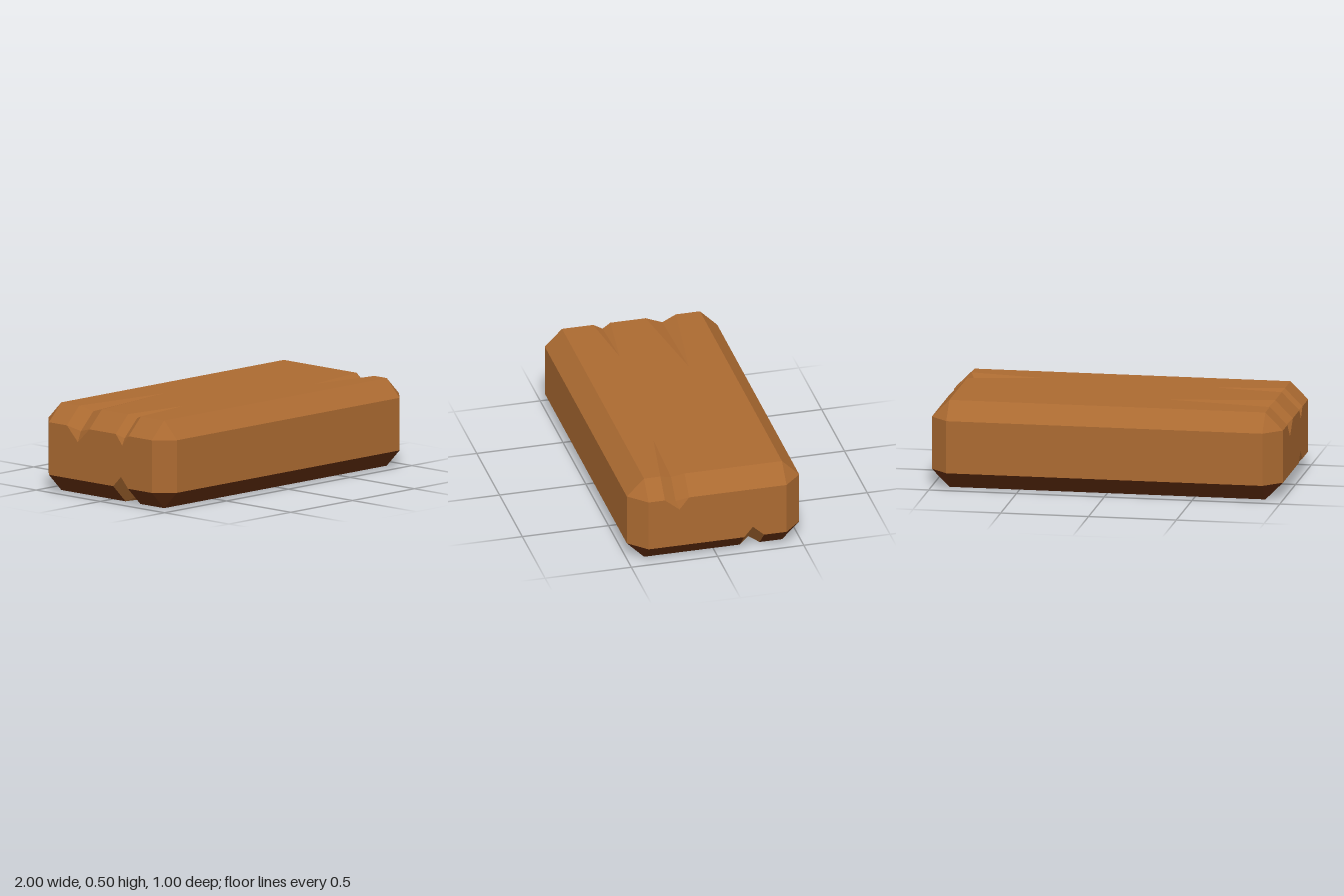
import * as THREE from 'three';

// Half sizes of the block, and the chamfer cut from every edge
const X = 1, Y = 0.25, Z = 0.5, C = 0.1;

// Wedge-shaped cracks: end (sx), top or bottom (sy), mouth edges, valley, tip, depths
const cracks = [
  { sx: 1, sy: 1, z: [0.165, 0.305], mid: 0.235, tip: 0.48, deep: 0.03, endZ: 0.22, endDrop: 0.07 },
  { sx: -1, sy: 1, z: [-0.26, -0.085], mid: -0.175, tip: 0.3, deep: 0.025, endZ: -0.175, endDrop: 0.085 },
  { sx: -1, sy: 1, z: [0.12, 0.22], mid: 0.17, tip: 0.51, deep: 0.02, endZ: 0.17, endDrop: 0.06 },
  { sx: 1, sy: -1, z: [-0.27, -0.155], mid: -0.213, tip: 0.5, deep: 0.03, endZ: -0.205, endDrop: 0.06 },
  { sx: -1, sy: -1, z: [0.1, 0.215], mid: 0.16, tip: 0.51, deep: 0.03, endZ: 0.16, endDrop: 0.06 },
];

// Collects flat polygons; each is triangulated and turned to face along its hint
function polygonCollector() {
  const positions = [];
  const add = (points, hint) => {
    const out = new THREE.Vector3(...hint);
    const size = hint.map(Math.abs);
    const drop = size.indexOf(Math.max(...size));
    const flat = points.map((p) => new THREE.Vector2(...p.filter((_, i) => i !== drop)));
    const pts = points.map((p) => new THREE.Vector3(...p));
    for (const [a, b, c] of THREE.ShapeUtils.triangulateShape(flat, [])) {
      const n = pts[b].clone().sub(pts[a]).cross(pts[c].clone().sub(pts[a]));
      const order = n.dot(out) >= 0 ? [a, b, c] : [a, c, b];
      for (const i of order) positions.push(pts[i].x, pts[i].y + Y, pts[i].z);
    }
  };
  const build = () => {
    const geometry = new THREE.BufferGeometry();
    geometry.setAttribute('position', new THREE.Float32BufferAttribute(positions, 3));
    geometry.computeVertexNormals();
    return geometry;
  };
  return { add, build };
}

// Cracks on one end and face, ordered along z
const cracksAt = (sx, sy) =>
  cracks.filter((c) => c.sx === sx && c.sy === sy).sort((a, b) => a.z[0] - b.z[0]);

// One edge running along z, stepping around each crack through its inner point
function notchedEdge(sx, sy, corner, inner) {
  const edge = [corner(-Z + C)];
  for (const c of cracksAt(sx, sy)) edge.push(corner(c.z[0]), inner(c), corner(c.z[1]));
  edge.push(corner(Z - C));
  return edge;
}

// Top (sy = 1) or underside (sy = -1): notched face with all its chamfers and corners
function capGeometry(sy) {
  const { add, build } = polygonCollector();
  const x = X - C, y = sy * (Y - C), z = Z - C;

  // Flat face, with tapering notches at the ends
  const edge = (sx) => notchedEdge(sx, sy, (ez) => [sx * x, sy * Y, ez], (c) => [sx * c.tip, sy * Y, c.mid]);
  add([...edge(-1), ...edge(1).reverse()], [0, sy, 0]);

  // Long chamfers
  for (const sz of [-1, 1]) {
    add([[-x, y, sz * Z], [x, y, sz * Z], [x, sy * Y, sz * z], [-x, sy * Y, sz * z]], [0, sy, sz]);
  }

  for (const sx of [-1, 1]) {
    // Corner triangles
    for (const sz of [-1, 1]) {
      add([[sx * x, y, sz * Z], [sx * X, y, sz * z], [sx * x, sy * Y, sz * z]], [sx, sy, sz]);
    }
    // End chamfers, in strips between the cracks
    const stops = [-z, ...cracksAt(sx, sy).flatMap((c) => c.z), z];
    for (let i = 0; i < stops.length; i += 2) {
      const [a, b] = [stops[i], stops[i + 1]];
      add([[sx * x, sy * Y, a], [sx * x, sy * Y, b], [sx * X, y, b], [sx * X, y, a]], [sx, sy, 0]);
    }
  }
  return build();
}

// Upright faces all round the block
function sidesGeometry() {
  const { add, build } = polygonCollector();
  const x = X - C, y = Y - C;

  // Ends, with the V-shaped crack mouths
  for (const sx of [-1, 1]) {
    const edge = (sy) => notchedEdge(sx, sy, (z) => [sx * X, sy * y, z],
      (c) => [sx * X, sy * (y - c.endDrop), c.endZ]);
    add([...edge(-1), ...edge(1).reverse()], [sx, 0, 0]);
  }

  for (const sz of [-1, 1]) {
    // Long sides
    add([[-x, -y, sz * Z], [x, -y, sz * Z], [x, y, sz * Z], [-x, y, sz * Z]], [0, 0, sz]);
    // Upright chamfers
    for (const sx of [-1, 1]) {
      const side = (h) => [sx * x, h, sz * Z];
      const end = (h) => [sx * X, h, sz * (Z - C)];
      add([side(-y), end(-y), end(y), side(y)], [sx, 0, sz]);
    }
  }
  return build();
}

// Two sloping walls inside each crack, meeting at the valley line
function crackGeometry() {
  const { add, build } = polygonCollector();
  for (const c of cracks) {
    const at = (x, y, z) => [c.sx * x, c.sy * y, z];
    const tip = at(c.tip, Y, c.mid);
    const inner = at(X - C - c.deep, Y - c.deep, c.mid);
    const outer = at(X - c.deep, Y - C - c.deep, c.mid);
    const mouth = at(X, Y - C - c.endDrop, c.endZ);
    c.z.forEach((z, i) => {
      const hint = [0, 0, i ? -1 : 1];
      const upper = at(X - C, Y, z), lower = at(X, Y - C, z);
      add([tip, upper, inner], hint);
      add([upper, lower, outer, inner], hint);
      add([lower, mouth, outer], hint);
    });
  }
  return build();
}

function material(name, color) {
  const result = new THREE.MeshStandardMaterial({ color });
  result.name = name;
  return result;
}

export function createModel() {
  const wood = material('brown wood', 0xab6a31);
  const darkWood = material('dark brown wood', 0x632d0f);

  const model = new THREE.Group();
  model.name = 'woodenPlank';
  const addPart = (name, geometry, mat) => {
    const mesh = new THREE.Mesh(geometry, mat);
    mesh.name = name;
    model.add(mesh);
  };
  addPart('top', capGeometry(1), wood);
  addPart('sides', sidesGeometry(), wood);
  addPart('underside', capGeometry(-1), darkWood);
  addPart('cracks', crackGeometry(), wood);
  return model;
}
